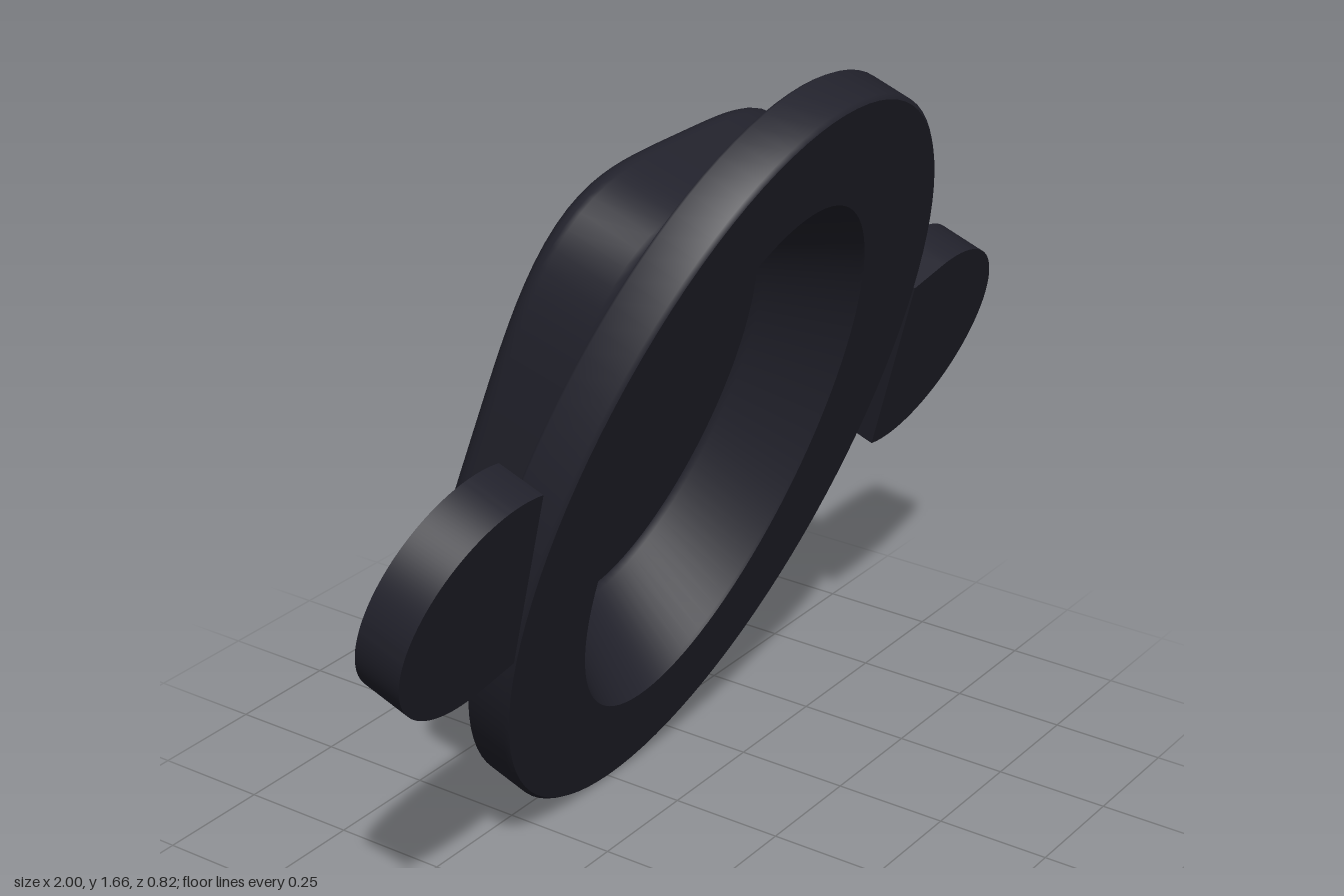
import * as THREE from 'three';
import { toCreasedNormals } from 'three/addons/utils/BufferGeometryUtils.js';

const SEG = 96;
const T = 0.107; // plate thickness

// Skin through closed rings [halfWidth, halfHeight, z, exponent]; exponent 2 is an ellipse
function loft(rings) {
  const pos = [], idx = [];
  for (const [a, b, z, p = 2] of rings) {
    for (let k = 0; k < SEG; k++) {
      const t = (k / SEG) * Math.PI * 2, c = Math.cos(t), s = Math.sin(t);
      const r = Math.pow(Math.abs(c) ** p + Math.abs(s) ** p, -1 / p);
      pos.push(a * r * c, b * r * s, z);
    }
  }
  for (let i = 0; i < rings.length - 1; i++) {
    for (let k = 0; k < SEG; k++) {
      const n = (k + 1) % SEG;
      const A = i * SEG + k, B = A + SEG, C = (i + 1) * SEG + n, D = i * SEG + n;
      idx.push(A, B, C, A, C, D);
    }
  }
  const g = new THREE.BufferGeometry();
  g.setAttribute('position', new THREE.Float32BufferAttribute(pos, 3));
  g.setIndex(idx);
  g.computeVertexNormals();
  return g;
}

// Rounded mounting lug with a screw hole and a slightly flared neck
function earGeometry() {
  const s = new THREE.Shape();
  const a = THREE.MathUtils.degToRad(102);
  s.moveTo(0.595, -0.22);
  s.absarc(0.75, 0, 0.25, -a, a, false);
  s.lineTo(0.595, 0.22);
  s.closePath();
  const hole = new THREE.Path();
  hole.absarc(0.748, 0, 0.096, 0, Math.PI * 2, true);
  s.holes.push(hole);
  const g = new THREE.ExtrudeGeometry(s, { depth: T, bevelEnabled: false, curveSegments: 48 });
  g.translate(0, 0, -T);
  return toCreasedNormals(g, 0.6);
}

export function createModel() {
  const dark = new THREE.MeshStandardMaterial({ color: 0x22222c });
  dark.name = 'dark plastic';
  const model = new THREE.Group();
  model.name = 'flushMount';
  const body = new THREE.Group();
  body.name = 'tiltedBody';
  body.position.set(0, 0.815, 0.115);
  body.rotation.x = THREE.MathUtils.degToRad(20);
  model.add(body);

  const add = (name, geometry) => {
    const m = new THREE.Mesh(geometry, dark);
    m.name = name;
    body.add(m);
    return m;
  };

  // Oval dish sunk into the front
  const depth = -0.2;
  add('recessFloor', loft([[0, 0, depth], [0.305, 0.48, depth]]));
  add('recessWall', loft([[0.305, 0.48, depth], [0.317, 0.493, depth + 0.012], [0.373, 0.622, -0.006], [0.376, 0.626, 0]]));

  // Oval plate
  const W = 0.615, H = 0.867, e = 0.008;
  add('plateFront', loft([[0.376, 0.626, 0], [W - e, H - e, 0]]));
  add('plateRim', loft([[W - e, H - e, 0], [W, H, -e], [W, H, -T + e], [W - e, H - e, -T]]));
  add('plateBack', loft([[W - e, H - e, -T], [0.49, 0.68, -T, 4]]));

  // Boxy boss behind the plate: concave fillet, wall, rounded edge, flat back
  const bw = 0.43, bh = 0.618, back = -0.352, f = 0.06, r = 0.045, P = 4;
  const rings = [];
  for (let i = 0; i <= 6; i++) {
    const t = (i / 6) * Math.PI / 2, o = f * (1 - Math.sin(t));
    rings.push([bw + o, bh + o, -T - f * (1 - Math.cos(t)), P]);
  }
  for (let i = 0; i <= 6; i++) {
    const t = (i / 6) * Math.PI / 2, o = 0.006 + r * (1 - Math.cos(t));
    rings.push([bw - o, bh - o, back + r * (1 - Math.sin(t)), P]);
  }
  const [lw, lh] = rings[rings.length - 1];
  rings.push([lw - 0.01, lh - 0.01, back, P]);
  add('bossWall', loft(rings));
  add('bossBack', loft([[lw - 0.01, lh - 0.01, back, P], [0, 0, back, P]]));

  // Mounting ears, one on each side
  const ear = earGeometry();
  add('leftEar', ear);
  add('rightEar', ear).rotation.z = Math.PI;

  return model;
}
